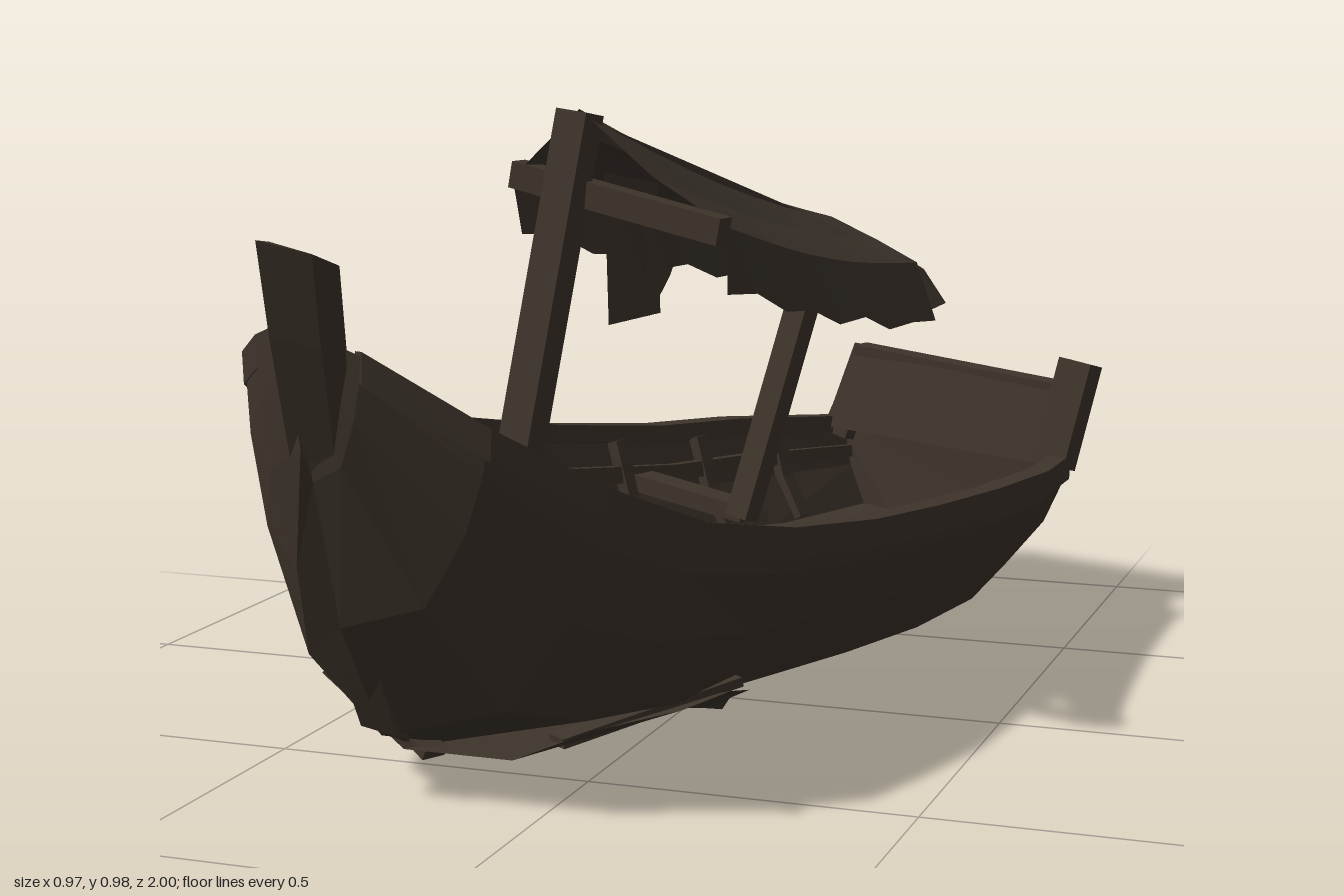
import * as THREE from 'three';

const V = (p) => new THREE.Vector3(...p);
const mat = (name, color) => {
  const m = new THREE.MeshStandardMaterial({ color, flatShading: true, side: THREE.DoubleSide });
  m.name = name;
  return m;
};

// Hull stations from stern to bow: left rim (-x), right rim (+x), keel
const STATIONS = [
  [[-0.06, 0.31, -0.97], [0.435, 0.285, -0.82], [0.155, 0.03, -0.87]],
  [[-0.20, 0.34, -0.70], [0.435, 0.29, -0.62], [0.13, 0.008, -0.62]],
  [[-0.27, 0.36, -0.47], [0.40, 0.30, -0.38], [0.08, 0.004, -0.40]],
  [[-0.37, 0.395, -0.22], [0.355, 0.315, -0.13], [0.01, 0.015, -0.15]],
  [[-0.43, 0.45, 0.06], [0.315, 0.335, 0.10], [-0.07, 0.03, 0.10]],
  [[-0.48, 0.54, 0.36], [0.265, 0.37, 0.36], [-0.155, 0.045, 0.38]],
  [[-0.465, 0.60, 0.60], [0.195, 0.41, 0.55], [-0.21, 0.06, 0.56]],
  [[-0.41, 0.65, 0.75], [0.11, 0.485, 0.715], [-0.245, 0.10, 0.68]],
  [[-0.335, 0.69, 0.85], [-0.01, 0.575, 0.82], [-0.255, 0.28, 0.78]],
  [[-0.26, 0.72, 0.90], [-0.16, 0.68, 0.89], [-0.25, 0.50, 0.86]],
].map((s) => s.map(V));
// Direction from stern to bow in plan
const FORWARD = new THREE.Vector3(-0.25, 0, 0.97);

// Point on a station: side 0/1, h = share of half width, v = share of height
function at(t, side, h, v, dy = 0) {
  const i = Math.min(Math.floor(t), STATIONS.length - 2);
  const [rim, keel] = [side, 2].map((k) => STATIONS[i][k].clone().lerp(STATIONS[i + 1][k], t - i));
  return new THREE.Vector3(
    keel.x + (rim.x - keel.x) * h,
    keel.y + (rim.y - keel.y) * v + dy,
    keel.z + (rim.z - keel.z) * h);
}

// Surface through rows of points, with optional flat ends
function skin(rows, closed = false, caps = []) {
  const pos = [];
  const tri = (...ps) => ps.forEach((p) => pos.push(p.x, p.y, p.z));
  const n = rows[0].length;
  for (let i = 0; i < rows.length - 1; i++) {
    for (let j = 0; j < (closed ? n : n - 1); j++) {
      const k = (j + 1) % n;
      const [a, b, c, d] = [rows[i][j], rows[i][k], rows[i + 1][k], rows[i + 1][j]];
      tri(a, b, c);
      tri(a, c, d);
    }
  }
  for (const r of caps) {
    for (let j = 1; j < n - 1; j++) {
      if (r === 0) tri(rows[r][0], rows[r][j + 1], rows[r][j]);
      else tri(rows[r][0], rows[r][j], rows[r][j + 1]);
    }
  }
  const g = new THREE.BufferGeometry();
  g.setAttribute('position', new THREE.Float32BufferAttribute(pos, 3));
  g.computeVertexNormals();
  return g;
}

export function createModel() {
  const root = new THREE.Group();
  root.name = 'oldBoat';
  const wood = mat('dark weathered wood', 0x3f352c);
  const cloth = mat('worn cloth', 0x3e352d);

  const add = (name, geo, m = wood) => {
    const mesh = new THREE.Mesh(geo, m);
    mesh.name = name;
    root.add(mesh);
    return mesh;
  };
  // Square timber from a to b; its height axis leans toward up
  const beam = (name, a, b, w, h, up = THREE.Object3D.DEFAULT_UP) => {
    const mesh = add(name, new THREE.BoxGeometry(w, h, a.distanceTo(b)));
    mesh.position.copy(a).lerp(b, 0.5);
    mesh.up.copy(up);
    mesh.lookAt(b);
  };
  const steps = STATIONS.map((_, i) => i);

  // Outer planking: left rim, down to the keel, up to the right rim
  const outerRight = [[1, 1], [0.97, 0.8], [0.86, 0.56], [0.56, 0.22], [0, 0]];
  const outerLeft = [[0.57, 0.15], [0.84, 0.51], [0.96, 0.8], [1, 1]];
  add('hull', skin(steps.map((t) => [
    ...outerRight.map(([h, v]) => at(t, 0, h, v)),
    ...outerLeft.map(([h, v]) => at(t, 1, h, v)),
  ]), false, [0, 9]));

  // Inner planking with the floor
  const inner = [[0.92, 1], [0.83, 0.68], [0.68, 0.42]];
  add('innerHullAndFloor', skin(steps.map((t) => [
    ...inner.map(([h, v]) => at(t, 0, h, v)),
    ...[...inner].reverse().map(([h, v]) => at(t, 1, h, v)),
  ])));

  for (const side of [0, 1]) {
    const tag = side ? 'Left' : 'Right';
    // Gunwale along the rim
    add('gunwale' + tag, skin(steps.map((t) => [
      at(t, side, 1.02, 1, 0.006), at(t, side, 0.89, 1, 0.006),
      at(t, side, 0.89, 1, -0.025), at(t, side, 1.012, 1, -0.04),
    ]), true, [0, 9]));
    // Ribs inside
    for (const t of [0.7, 1.6, 2.5, 3.4, 4.3, 5.3, 6.3]) {
      beam('ribUpper' + tag, at(t, side, 0.89, 0.94), at(t, side, 0.815, 0.67), 0.035, 0.025);
      beam('ribLower' + tag, at(t, side, 0.815, 0.67), at(t, side, 0.68, 0.43), 0.035, 0.025);
    }
    // Inner stringer
    add('stringer' + tag, skin(steps.slice(0, 9).map((t) => [
      at(t, side, 0.87, 0.82), at(t, side, 0.82, 0.82),
      at(t, side, 0.81, 0.74), at(t, side, 0.84, 0.74),
    ]), true));
  }

  // Floor timbers
  for (const t of [4.2, 5.2, 6.3])
    beam('floorTimber', at(t, 0, 0.7, 0.46), at(t, 1, 0.7, 0.46), 0.04, 0.03);
  // Half thwart holding the foot of the rear mast
  beam('rearMastThwart', at(2.35, 0, 0.85, 0.75), V([-0.02, 0.25, -0.305]), 0.05, 0.03);

  // Raised stern board, its cap and corner posts
  const board = [[[-0.06, 0.30, -0.965], [0.43, 0.275, -0.82]], [[0.0, 0.45, -0.985], [0.44, 0.405, -0.85]]];
  const inward = new THREE.Vector3(-0.012, 0, 0.04);
  const [low, high] = board.map((r) => r.map(V));
  add('sternBoard', skin([0, 1].map((k) => [
    low[k], high[k], high[k].clone().add(inward), low[k].clone().add(inward),
  ]), true, [0, 1]));
  beam('sternCap', V([-0.01, 0.445, -0.965]), V([0.44, 0.405, -0.835]), 0.045, 0.03);
  beam('sternPostLeft', V([0.41, 0.27, -0.81]), V([0.45, 0.462, -0.845]), 0.065, 0.055, FORWARD);
  beam('sternPostRight', V([-0.045, 0.28, -0.945]), V([0.01, 0.452, -0.97]), 0.05, 0.045, FORWARD);

  // Stem, nearly flush at the foot, rising into the bow post
  const stem = [
    [-0.245, 0.10, 0.675, 0.035], [-0.255, 0.31, 0.775, 0.04], [-0.245, 0.52, 0.855, 0.043],
    [-0.225, 0.69, 0.915, 0.047], [-0.21, 0.82, 0.965, 0.05],
  ];
  add('bowPost', skin(stem.map(([x, y, z, r], i) => {
    const back = i > 2 ? 0.05 : 0.02;
    const front = i > 2 ? r * 0.7 : 0.014;
    return [
      V([x - r, y + r * 0.25, z - r * 0.4]), V([x - r * 0.8, y + r * 0.4, z + front]),
      V([x + r * 0.8, y + r * 0.1, z + front]), V([x + r, y - r * 0.3, z - r * 0.4]),
      V([x + r * 0.7, y - r * 0.4, z - back]), V([x - r * 0.7, y, z - back]),
    ];
  }), true, [0, 4]));

  // Canopy frame
  beam('frontMast', V([-0.17, 0.22, 0.465]), V([-0.06, 0.975, 0.365]), 0.055, 0.045, FORWARD);
  beam('rearMast', V([-0.03, 0.24, -0.295]), V([0.078, 0.73, -0.415]), 0.042, 0.045, FORWARD);
  beam('frontCrossbar', V([-0.175, 0.88, 0.335]), V([0.175, 0.81, 0.4]), 0.035, 0.04);
  beam('ridgePole', V([-0.055, 0.95, 0.36]), V([0.08, 0.73, -0.43]), 0.025, 0.025);

  // Canopy cloth: right edge, right eave, ridge, sag, left eave, left edge
  const front = [[-0.165, 0.79, 0.34], [-0.175, 0.875, 0.35], [-0.055, 0.98, 0.38],
    [0.06, 0.885, 0.385], [0.175, 0.815, 0.385], [0.17, 0.715, 0.37]].map(V);
  const back = [[-0.04, 0.65, -0.49], [-0.03, 0.695, -0.53], [0.08, 0.755, -0.46],
    [0.16, 0.715, -0.475], [0.235, 0.68, -0.46], [0.28, 0.585, -0.42]].map(V);
  const ragged = [0, 0.015, 0, 0.01, -0.005, 0.01, -0.01, 0, 0];
  add('canopy', skin(ragged.map((d, i) => front.map((p, j) => {
    const u = i / (ragged.length - 1);
    const q = p.clone().lerp(back[j], u);
    q.y -= 0.02 * Math.sin(Math.PI * u);
    if (j === 0 || j === 5) q.y += d;
    return q;
  }))), cloth);

  // Torn strips hanging under the canopy and at its rear corner
  const strips = [
    [[-0.06, 0.88, 0.27], [0.0, 0.86, 0.2], [0.0, 0.66, 0.19], [-0.05, 0.65, 0.28]],
    [[-0.01, 0.84, 0.24], [0.04, 0.8, 0.18], [0.02, 0.72, 0.2], [0.0, 0.66, 0.24]],
    [[0.22, 0.69, -0.44], [0.25, 0.67, -0.45], [0.285, 0.61, -0.47], [0.265, 0.6, -0.42]],
  ];
  for (const s of strips) {
    const [a, b, c, d] = s.map(V);
    add('tornStrip', skin([[a, b], [d, c]]), cloth);
  }

  // Splintered planks crumpled under the bow
  add('brokenPlanks', skin([
    [[-0.38, 0.16, 0.6], [-0.23, 0.07, 0.64], [-0.06, 0.07, 0.64], [0.05, 0.115, 0.61]],
    [[-0.40, 0.17, 0.46], [-0.22, 0.045, 0.47], [-0.05, 0.055, 0.47], [0.14, 0.12, 0.48]],
    [[-0.36, 0.12, 0.3], [-0.2, 0.042, 0.28], [-0.03, 0.05, 0.27], [0.15, 0.10, 0.29]],
    [[-0.2, 0.05, 0.14], [-0.1, 0.03, 0.13], [0.04, 0.018, 0.12], [0.14, 0.07, 0.17]],
    [[-0.08, 0.035, 0.1], [-0.02, 0.025, 0.08], [0.06, 0.004, 0.07], [0.08, 0.03, 0.09]],
  ].map((r) => r.map(V))));
  beam('splinterLong', V([-0.39, 0.155, 0.5]), V([-0.2, 0.055, 0.6]), 0.04, 0.015);
  beam('splinterShort', V([-0.05, 0.06, 0.5]), V([0.14, 0.105, 0.24]), 0.04, 0.015);

  return root;
}
